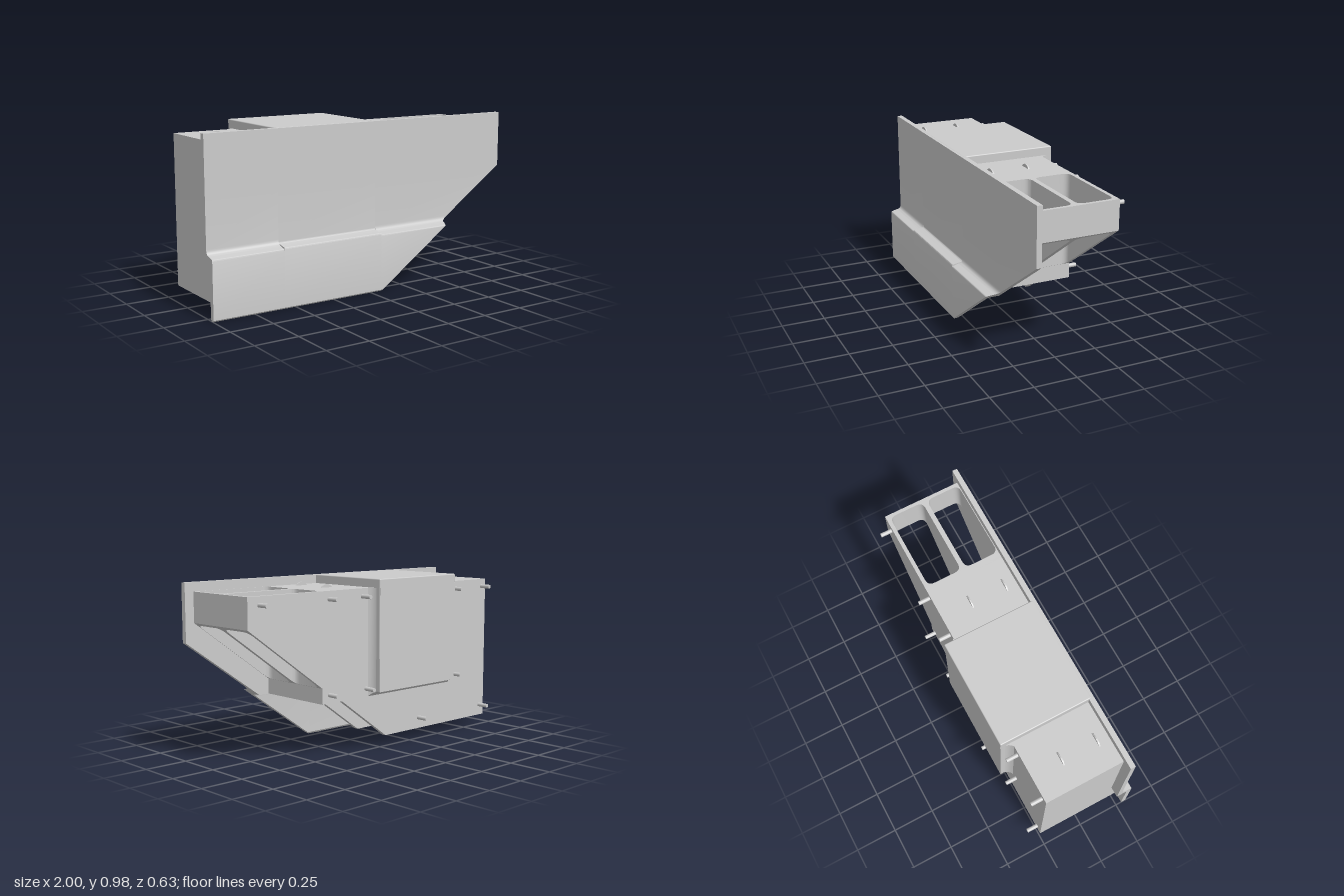
import * as THREE from 'three';
import { toCreasedNormals } from 'three/addons/utils/BufferGeometryUtils.js';
import { RoundedBoxGeometry } from 'three/addons/geometries/RoundedBoxGeometry.js';

export function createModel() {
  const model = new THREE.Group();
  const mat = new THREE.MeshStandardMaterial({ color: 0xcccccc });

  const add = (name, geo, parent = model) => {
    const mesh = new THREE.Mesh(geo, mat);
    mesh.name = name;
    parent.add(mesh);
    return mesh;
  };
  const group = (name) => {
    const g = new THREE.Group();
    g.name = name;
    model.add(g);
    return g;
  };
  const polygon = (pts) => new THREE.Shape(pts.map(([x, y]) => new THREE.Vector2(x, y)));
  const extrude = (shape, depth) =>
    new THREE.ExtrudeGeometry(shape, { depth, bevelEnabled: false, curveSegments: 6 });
  // Box given by its lower and upper corners, with lightly rounded edges
  const box = (a, b, r = 0.008) =>
    new RoundedBoxGeometry(b[0] - a[0], b[1] - a[1], b[2] - a[2], 2, r)
      .translate((a[0] + b[0]) / 2, (a[1] + b[1]) / 2, (a[2] + b[2]) / 2);
  // Move every vertex by a rule, then rebuild normals
  const reshape = (geo, rule) => {
    const p = geo.attributes.position;
    const v = new THREE.Vector3();
    for (let i = 0; i < p.count; i++) {
      rule(v.fromBufferAttribute(p, i));
      p.setXYZ(i, v.x, v.y, v.z);
    }
    geo.computeVertexNormals();
    return toCreasedNormals(geo, 0.6);
  };

  // Front panel: stepped cross-section run along x, its left end cut on a slant
  const panel = group('frontPanel');
  const panelStrip = (x0, x1, ledge, soft) => {
    const s = new THREE.Shape();
    s.moveTo(-0.292, 0);
    s.lineTo(-0.308, 0);
    s.lineTo(-0.315, 0.008);
    s.lineTo(-0.315, ledge - 0.01);
    s.quadraticCurveTo(-0.315, ledge, -0.305, ledge);
    s.lineTo(-0.248 - soft, ledge + 0.008);
    s.quadraticCurveTo(-0.248, ledge + 0.01, -0.248, ledge + 0.01 + soft);
    s.lineTo(-0.248, 0.65);
    s.lineTo(-0.218, 0.65);
    s.lineTo(-0.218, 0.305);
    s.lineTo(-0.27, 0.305);
    s.quadraticCurveTo(-0.285, 0.305, -0.285, 0.285);
    s.lineTo(-0.285, 0.01);
    const geo = extrude(s, x1 - x0).rotateY(Math.PI / 2).translate(x0, 0, 0);
    add('panelStrip', reshape(geo, (v) => {
      v.x = Math.min(v.x, 0.07 + v.y * 0.93 / 0.65);
    }), panel);
  };
  panelStrip(-1, -0.57, 0.333, 0.03);
  panelStrip(-0.57, 0.07, 0.342, 0.008);
  panelStrip(0.07, 1, 0.333, 0.03);
  add('panelUpper', new THREE.BoxGeometry(2, 0.325, 0.03).translate(0, 0.8125, 0.233), panel);

  // Main body: stepped block behind the panel
  const body = group('body');
  add('bodyCore', extrude(polygon([
    [-0.94, 0.06], [-0.26, 0.06], [-0.26, 0.307], [0.44, 0.307], [0.44, 0.925], [-0.94, 0.925],
  ]), 0.475).translate(0, 0, -0.247), body);
  add('bodyFoot', new THREE.BoxGeometry(0.68, 0.246, 0.1).translate(-0.6, 0.183, 0.24), body);

  // Upper open frame: two rounded wells, underside cut on the slant
  const frame = polygon([[0.4, -0.247], [0.945, -0.247], [0.945, 0.225], [0.4, 0.225]]);
  const well = (x0, z0, x1, z1, r) => {
    const h = new THREE.Path();
    h.moveTo(x0 + r, z0);
    h.lineTo(x1 - r, z0);
    h.quadraticCurveTo(x1, z0, x1, z0 + r);
    h.lineTo(x1, z1 - r);
    h.quadraticCurveTo(x1, z1, x1 - r, z1);
    h.lineTo(x0 + r, z1);
    h.quadraticCurveTo(x0, z1, x0, z1 - r);
    h.lineTo(x0, z0 + r);
    h.quadraticCurveTo(x0, z0, x0 + r, z0);
    frame.holes.push(h);
  };
  well(0.442, -0.225, 0.925, -0.018, 0.04);
  well(0.442, 0.01, 0.925, 0.214, 0.04);
  const frameGeo = extrude(frame, 0.5).rotateX(Math.PI / 2).translate(0, 0.925, 0);
  add('upperFrame', reshape(frameGeo, (v) => {
    if (v.y < 0.9) v.y = 0.395 + (v.x - 0.44) * 0.715;
  }), body);

  // Lower ribs under the shelf
  for (const z of [-0.247, -0.014]) {
    add('lowerRib', extrude(polygon([
      [-0.28, 0.06], [-0.05, 0.06], [0.3, 0.31], [-0.28, 0.31],
    ]), 0.028).translate(0, 0, z), body);
  }

  // Raised middle block with a flared foot where it leaves the back wall
  const block = group('middleBlock');
  add('blockCore', box([-0.57, 0.335, -0.315], [0.07, 0.976, 0.235], 0.006), block);
  const flare = new THREE.BoxGeometry(0.64, 0.59, 0.07, 1, 1, 6).translate(-0.25, 0.63, -0.28);
  add('blockFlare', reshape(flare, (v) => {
    const t = Math.min(1, (v.z + 0.315) / 0.07);
    const o = 0.03 * t ** 3 - 0.002;
    v.x += v.x > -0.25 ? o : -o;
    if (v.y < 0.5) v.y -= o;
  }), block);

  // Locating pins on the back wall
  const pins = group('backPins');
  for (const [x, y] of [
    [-0.9, 0.88], [-0.635, 0.88], [0.14, 0.88], [0.39, 0.88], [0.87, 0.88],
    [-0.635, 0.355], [0.11, 0.355], [0.39, 0.355], [-0.9, 0.125], [-0.33, 0.125],
  ]) {
    add('pin', new THREE.CylinderGeometry(0.012, 0.012, 0.075, 16)
      .rotateX(Math.PI / 2).translate(x, y, -0.277), pins);
  }

  // Thin curved tabs on the top and the underside
  const tabs = group('tabs');
  const tab = (x, y, z, up) => {
    const s = new THREE.Shape();
    s.moveTo(-0.046, -0.005 * up);
    s.quadraticCurveTo(0, 0.045 * up, 0.046, -0.005 * up);
    add('tab', extrude(s, 0.008).translate(x, y, z - 0.004), tabs);
  };
  for (const x of [-0.77, 0.245]) for (const z of [-0.065, 0.15]) tab(x, 0.925, z, 1);
  for (const x of [-0.78, -0.44]) for (const z of [-0.05, 0.09, 0.225]) tab(x, 0.06, z, -1);

  return model;
}
